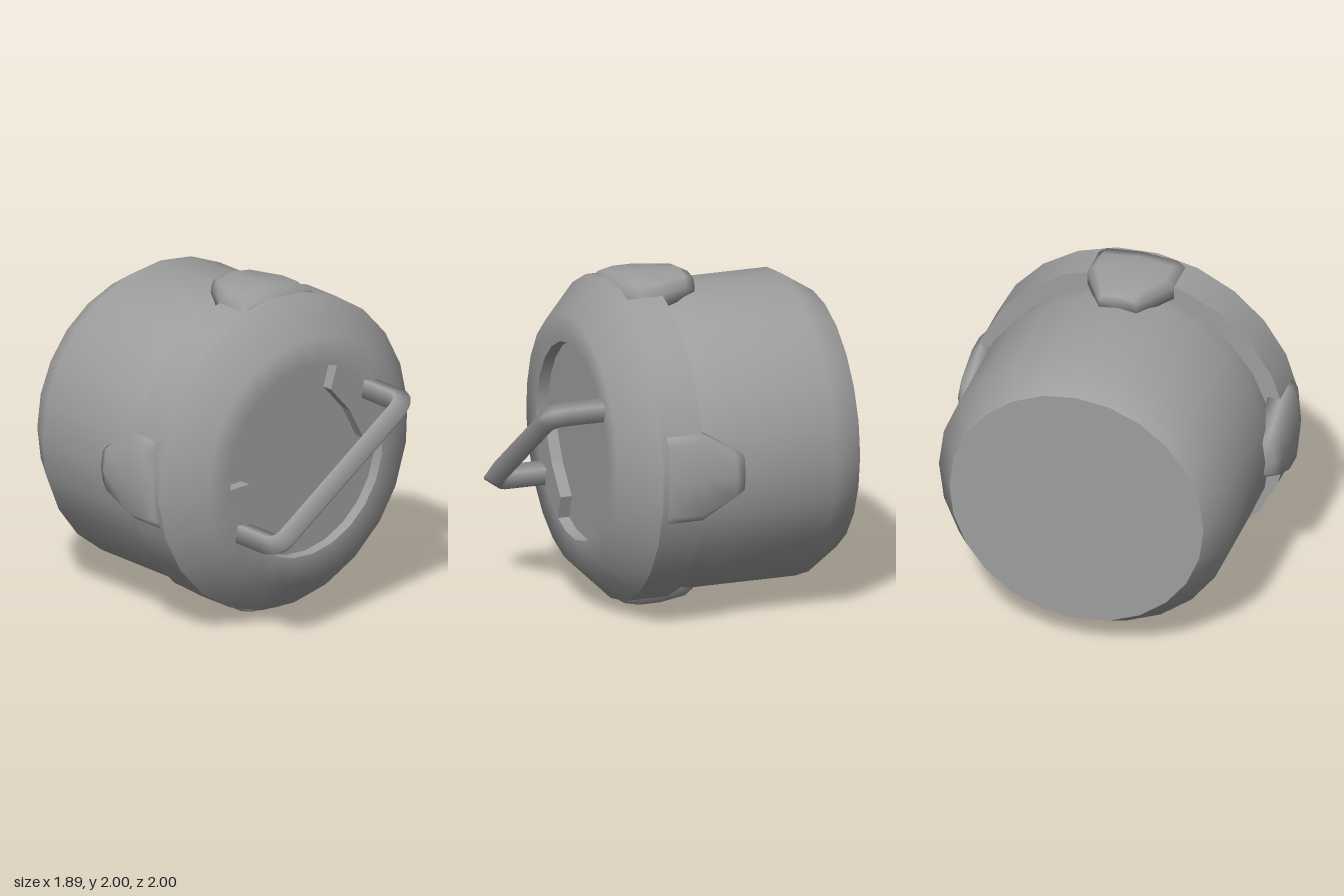
import * as THREE from 'three';

const material = new THREE.MeshStandardMaterial({ color: 0x9e9e9e });

function addMesh(parent, name, geometry) {
  const mesh = new THREE.Mesh(geometry, material);
  mesh.name = name;
  parent.add(mesh);
  return mesh;
}

// Solid of revolution about the x axis; profile points are [radius, x]
function turned(profile, sides, phase = 0) {
  const points = profile.map(([r, x]) => new THREE.Vector2(r, x));
  return new THREE.LatheGeometry(points, sides, phase).rotateZ(-Math.PI / 2);
}

// Smooth skin over equal-length cross-sections, with fan caps at both ends
function loft(sections) {
  const n = sections[0].length;
  const index = [];
  for (let s = 0; s < sections.length - 1; s++) {
    for (let i = 0; i < n; i++) {
      const a = s * n + i, b = s * n + (i + 1) % n;
      index.push(a, a + n, b, b, a + n, b + n);
    }
  }
  const last = (sections.length - 1) * n;
  for (let i = 1; i < n - 1; i++) {
    index.push(0, i, i + 1, last, last + i + 1, last + i);
  }
  const geometry = new THREE.BufferGeometry();
  geometry.setAttribute('position', new THREE.Float32BufferAttribute(sections.flat(2), 3));
  geometry.setIndex(index);
  geometry.computeVertexNormals();
  return geometry;
}

// Domed latch pad lying on top of the rim
function clipGeometry() {
  // x, half width, base, shoulder height, crown height
  const stations = [
    [-0.165, 0.115, 0.87, 0.95, 0.965],
    [-0.1, 0.155, 0.85, 0.98, 1.0],
    [0.09, 0.265, 0.84, 0.975, 1.0],
    [0.22, 0.265, 0.84, 0.975, 1.0],
    [0.31, 0.265, 0.84, 0.955, 0.975],
  ];
  return loft(stations.map(([x, w, base, shoulder, crown]) => [
    [x, base, w], [x, 0.92, w], [x, shoulder, 0.82 * w], [x, crown, 0],
    [x, shoulder, -0.82 * w], [x, 0.92, -w], [x, base, -w],
  ]));
}

// Flat tab that fills part of the recess beside each handle foot
function tabGeometry() {
  const polar = (r, degrees) => {
    const a = THREE.MathUtils.degToRad(degrees);
    return new THREE.Vector2(r * Math.cos(a), r * Math.sin(a));
  };
  const outline = [polar(0.442, 5), polar(0.592, 4)];
  for (let a = 20; a < 60; a += 15) outline.push(polar(0.592, a));
  outline.push(polar(0.592, 66.5), polar(0.443, 64.5), polar(0.41, 35));
  return new THREE.ExtrudeGeometry(new THREE.Shape(outline), { depth: 0.07, bevelEnabled: false })
    .translate(0, 0, 0.485).rotateY(Math.PI / 2);
}

// Bail handle of square bar set on edge: two legs, tight bends and a grip, in the xz plane
function handleGeometry() {
  const v = (x, z) => new THREE.Vector3(x, 0, z);
  const span = 0.59, bar = 0.865, bend = 0.08;
  const path = new THREE.CurvePath();
  path.add(new THREE.LineCurve3(v(0.5, -span), v(bar - bend, -span)));
  path.add(new THREE.QuadraticBezierCurve3(v(bar - bend, -span), v(bar, -span), v(bar, -span + bend)));
  path.add(new THREE.LineCurve3(v(bar, -span + bend), v(bar, span - bend)));
  path.add(new THREE.QuadraticBezierCurve3(v(bar, span - bend), v(bar, span), v(bar - bend, span)));
  path.add(new THREE.LineCurve3(v(bar - bend, span), v(0.5, span)));
  return new THREE.TubeGeometry(path, 60, 0.075, 4, false);
}

export function createModel() {
  const root = new THREE.Group();
  root.name = 'canister';
  const drum = new THREE.Group();
  drum.name = 'drum';
  drum.position.y = 1;
  root.add(drum);

  // Body shell and its flat end, set slightly below the lid axis
  const body = new THREE.Group();
  body.name = 'body';
  body.position.y = -0.022;
  drum.add(body);
  addMesh(body, 'bodyShell', turned([[0.78, -0.95], [0.908, -0.75], [0.908, -0.08], [0.865, 0.09], [0.865, 0.2]], 24));
  addMesh(body, 'bodyEnd', turned([[0, -0.95], [0.78, -0.95]], 24));

  // Lid: each profile run is separate so its edges stay sharp
  const phase = THREE.MathUtils.degToRad(5);
  const lidRuns = {
    rimBackFace: [[0.82, 0.09], [0.963, 0.09]],
    rimBand: [[0.963, 0.09], [0.963, 0.345]],
    lidFace: [[0.963, 0.345], [0.757, 0.555], [0.59, 0.555]],
    recessWall: [[0.59, 0.555], [0.59, 0.485]],
    recessFloor: [[0.59, 0.485], [0, 0.485]],
  };
  for (const [name, profile] of Object.entries(lidRuns)) {
    addMesh(drum, name, turned(profile, 24, phase));
  }

  // Opposite tabs under the handle feet
  for (let i = 0; i < 2; i++) {
    addMesh(drum, 'recessTab', tabGeometry()).rotation.x = i * Math.PI;
  }

  // Four clips around the rim
  for (let i = 0; i < 4; i++) {
    addMesh(drum, 'clip', clipGeometry()).rotation.x = i * Math.PI / 2;
  }

  // Slanted handle
  addMesh(drum, 'handle', handleGeometry()).rotation.x = Math.atan2(0.335, 0.485);

  return root;
}
